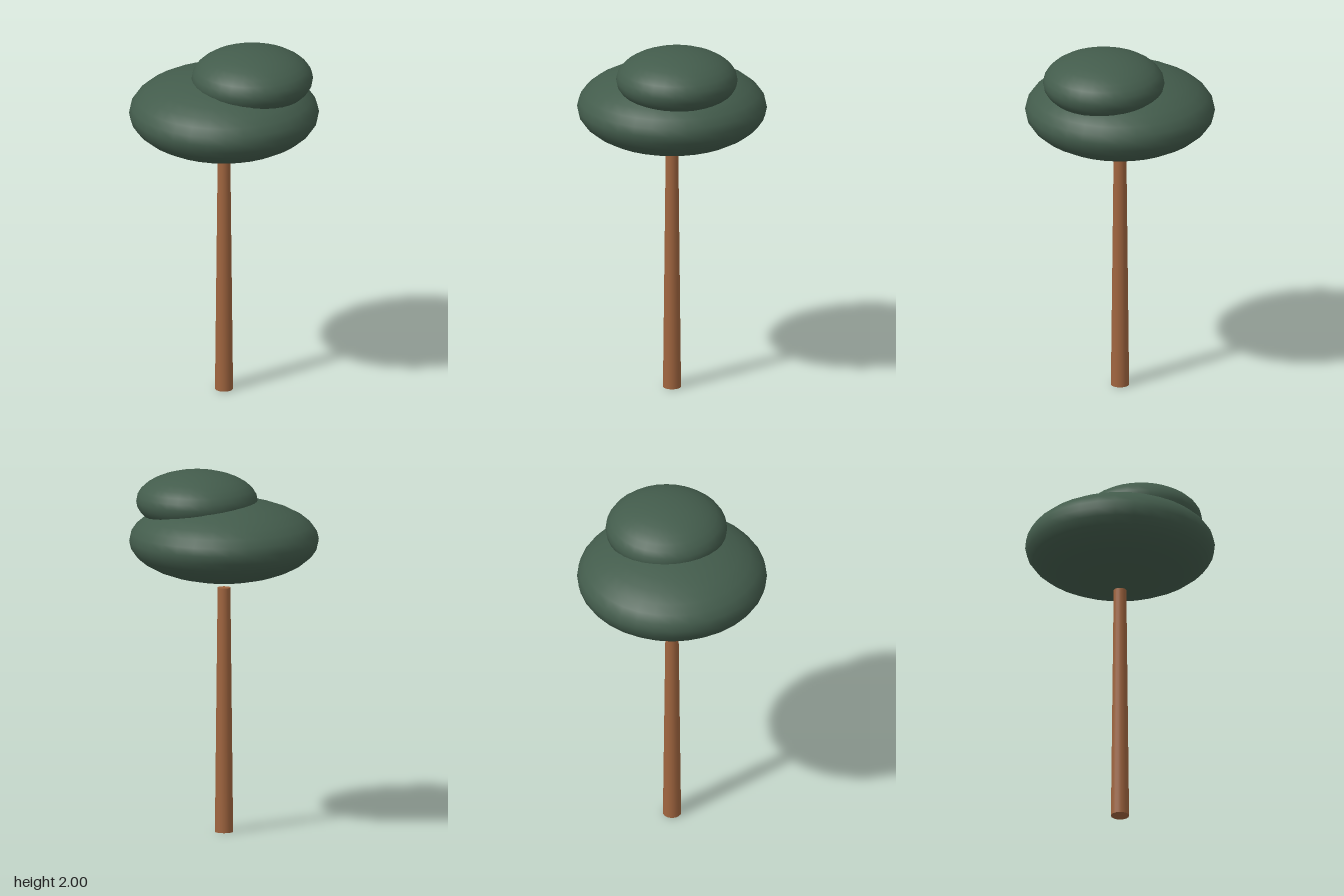
import * as THREE from 'three';

export function createModel() {
  const tree = new THREE.Group();
  tree.name = 'tree';

  const bark = new THREE.MeshStandardMaterial({ color: 0xa0653f });
  const leaves = new THREE.MeshStandardMaterial({ color: 0x435c4c });

  // Tapered trunk, ending just below the crown
  const trunkHeight = 1.36;
  const trunk = new THREE.Mesh(new THREE.CylinderGeometry(0.035, 0.05, trunkHeight, 20), bark);
  trunk.name = 'trunk';
  trunk.position.y = trunkHeight / 2;
  tree.add(trunk);

  // Flattened foliage pads: a wide one and a smaller one offset on top
  const addPad = (name, x, y, radius, halfHeight) => {
    const geometry = new THREE.SphereGeometry(1, 32, 16);
    geometry.scale(radius, halfHeight, radius);
    const pad = new THREE.Mesh(geometry, leaves);
    pad.name = name;
    pad.position.set(x, y, 0);
    tree.add(pad);
  };
  addPad('lowerFoliage', 0, 1.625, 0.52, 0.226);
  addPad('upperFoliage', 0.157, 1.835, 0.333, 0.165);

  return tree;
}
